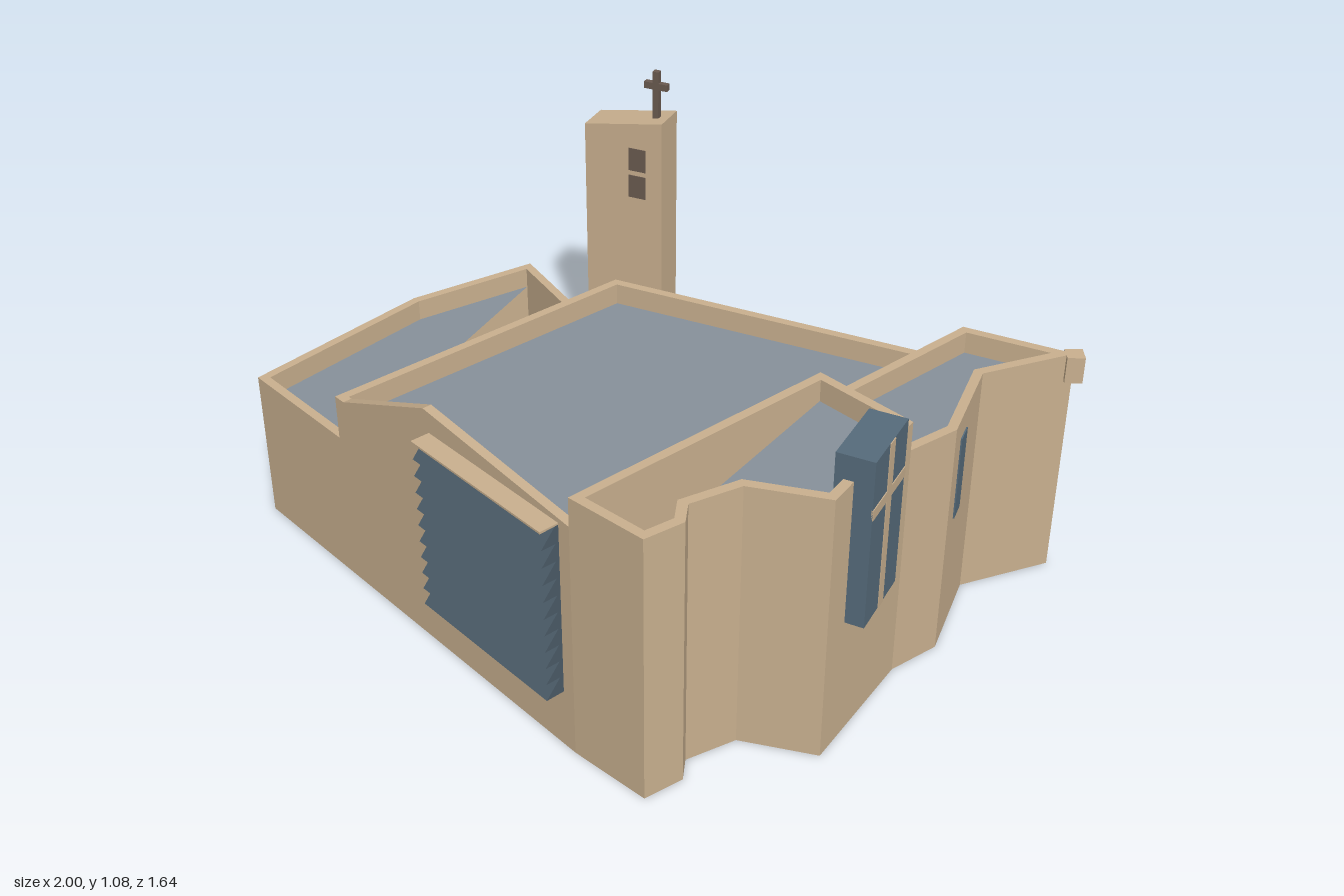
import * as THREE from 'three';

const mat = (color) => new THREE.MeshStandardMaterial({ color, flatShading: true, side: THREE.DoubleSide });
const WALL = mat(0xc9b08f), ROOF = mat(0x87919a), GLASS = mat(0x566b7b);
const SLAT = mat(0x4a5a66), DARK = mat(0x6a5a50);
const T = 0.027; // wall thickness

// plan outlines are lists of [x, z]
const toShape = (pts) => new THREE.Shape(pts.map(([x, z]) => new THREE.Vector2(x, -z)));

// move every side of an outline inwards by d, with mitred corners
function inset(pts, d) {
  const n = pts.length;
  let area = 0;
  pts.forEach(([x, z], i) => {
    const [u, w] = pts[(i + 1) % n];
    area += x * w - u * z;
  });
  const s = Math.sign(area);
  const normal = (a, b) => {
    const l = Math.hypot(b[0] - a[0], b[1] - a[1]);
    return [(-s * (b[1] - a[1])) / l, (s * (b[0] - a[0])) / l];
  };
  return pts.map((p, i) => {
    const a = normal(pts[(i + n - 1) % n], p), b = normal(p, pts[(i + 1) % n]);
    const k = d / (1 + a[0] * b[0] + a[1] * b[1]);
    return [p[0] + (a[0] + b[0]) * k, p[1] + (a[1] + b[1]) * k];
  });
}

function add(parent, name, geometry, material) {
  const mesh = new THREE.Mesh(geometry, material);
  mesh.name = name;
  parent.add(mesh);
  return mesh;
}

// upright solid over a plan outline, optionally hollow
function prism(pts, y0, y1, hollow) {
  const shape = toShape(pts);
  if (hollow) shape.holes.push(toShape(inset(pts, T)));
  return new THREE.ExtrudeGeometry(shape, { depth: y1 - y0, bevelEnabled: false })
    .rotateX(-Math.PI / 2).translate(0, y0, 0);
}

const flat = (pts, y) => new THREE.ShapeGeometry(toShape(pts)).rotateX(-Math.PI / 2).translate(0, y, 0);

// box set on a wall running from a to b: u0..u1 is the fraction along it
function panel(parent, name, a, b, u0, u1, y0, y1, depth, material) {
  const dx = b[0] - a[0], dz = b[1] - a[1], u = (u0 + u1) / 2;
  const mesh = add(parent, name,
    new THREE.BoxGeometry(Math.hypot(dx, dz) * (u1 - u0), y1 - y0, depth), material);
  mesh.position.set(a[0] + dx * u, (y0 + y1) / 2, a[1] + dz * u);
  mesh.rotation.y = -Math.atan2(dz, dx);
  return mesh;
}

export function createModel() {
  const model = new THREE.Group();
  model.name = 'church';

  // hollow wings with parapets; a roof may cover only part of the wing
  const hall = [[-0.47, 0.76], [0.545, 0.76], [0.545, -0.67], [-0.47, -0.255]];
  const left = [[-0.47, 0.76], [-0.9, 0.76], [-0.99, 0.14], [-0.93, -0.28], [-0.59, -0.205], [-0.47, -0.255]];
  const front = [[0.545, 0.76], [0.786, 0.737], [0.8, 0.62], [0.752, 0.567], [0.785, 0.42],
    [0.97, 0.3], [0.865, -0.09], [0.545, -0.09]];
  const back = [[0.545, -0.09], [0.865, -0.09], [0.88, -0.25], [0.745, -0.515], [0.845, -0.785], [0.545, -0.67]];
  const wings = [
    ['hall', hall, 0.605, [0, 1, 2, 3]],
    ['leftWing', left, 0.47, [0, 1, 2, 3]],
    ['frontRightWing', front, 0.8, [1, 2, 3, 4, 5, 6, 7, 3]],
    ['backRightWing', back, 0.715, [0, 1, 2, 3, 4, 5]],
  ];
  for (const [name, outline, height, corners] of wings) {
    add(model, name + 'Walls', prism(outline, 0, height, true), WALL);
    const inner = inset(outline, T);
    const pick = (list) => list.map((i) => inner[i]);
    if (name === 'frontRightWing') {
      add(model, name + 'Roof', flat(pick([3, 4, 5, 6, 7]), height - 0.065), ROOF);
      add(model, name + 'RoofSliver', flat(pick([1, 2, 3]), height - 0.065), ROOF);
    } else add(model, name + 'Roof', flat(pick(corners), height - 0.065), ROOF);
  }

  // gabled parapet over the front wall
  const gable = new THREE.Shape([[-0.47, 0.6], [0.545, 0.6], [0.545, 0.715], [-0.04, 0.77], [-0.43, 0.605],
    [-0.47, 0.605]].map(([x, y]) => new THREE.Vector2(x, y)));
  add(model, 'frontGable', new THREE.ExtrudeGeometry(gable, { depth: T, bevelEnabled: false })
    .translate(0, 0, 0.76 - T), WALL);

  // raised partition between hall and back wing
  add(model, 'partitionTop', new THREE.BoxGeometry(0.012, 0.11, 0.84).translate(0.539, 0.66, 0.33), WALL);

  // sawtooth louvres on the front
  const saw = [[0.755, 0.18]];
  const step = 0.052;
  for (let i = 0; i < 10; i++) saw.push([0.815, 0.18 + i * step], [0.77, 0.18 + (i + 1) * step]);
  saw.push([0.755, 0.7]);
  const sawShape = new THREE.Shape(saw.map(([z, y]) => new THREE.Vector2(-z, y)));
  add(model, 'frontLouvres', new THREE.ExtrudeGeometry(sawShape, { depth: 0.525, bevelEnabled: false })
    .rotateY(Math.PI / 2).translate(-0.02, 0, 0), SLAT);
  add(model, 'louvreCap', new THREE.BoxGeometry(0.525, 0.006, 0.06).translate(0.2425, 0.702, 0.787), WALL);

  // window bands on the slanting back wall
  for (let i = 0; i < 5; i++) {
    const y = 0.225 + i * 0.074;
    panel(model, 'backWindowBand', hall[2], hall[3], 0.1, 0.7, y, y + 0.044, 0.008, GLASS);
  }
  // narrow window of the back wing
  panel(model, 'sideWindow', back[2], back[3], 0.23, 0.44, 0.39, 0.645, 0.008, GLASS);

  // corbel and eave at the back corner
  const corbel = add(model, 'cornerCorbel', new THREE.BoxGeometry(0.05, 0.08, 0.05), WALL);
  corbel.position.set(0.845, 0.675, -0.785);
  corbel.rotation.y = -0.75;
  add(model, 'cornerEave', flat([[0.68, -0.722], [0.83, -0.815], [0.86, -0.77]], 0.655), ROOF);

  // glass bay with a cross on its outer face
  const bay = new THREE.Group();
  bay.name = 'glassBay';
  bay.position.set(0.908, 0.6225, 0.112);
  bay.rotation.y = 0.37;
  add(bay, 'bayGlass', new THREE.BoxGeometry(0.103, 0.495, 0.216), GLASS);
  add(bay, 'bayCrossUpright', new THREE.BoxGeometry(0.006, 0.495, 0.032).translate(0.051, 0, 0), WALL);
  add(bay, 'bayCrossBar', new THREE.BoxGeometry(0.006, 0.03, 0.216).translate(0.051, 0.095, 0), WALL);
  model.add(bay);

  // bell tower: wider base, shaft with sloping top
  const tower = new THREE.Group();
  tower.name = 'bellTower';
  model.add(tower);
  add(tower, 'towerBase', prism([[-0.965, -0.71], [-0.77, -0.755], [-0.695, -0.63], [-0.965, -0.5]], 0, 0.17), WALL);
  const shaft = prism([[-1, -0.65], [-0.745, -0.755], [-0.695, -0.645], [-0.95, -0.54]], 0.17, 0.93);
  const p = shaft.attributes.position;
  for (let i = 0; i < p.count; i++) {
    const along = 0.92 * p.getX(i) - 0.39 * p.getZ(i);
    if (p.getY(i) > 0.5 && along < -0.55) p.setY(i, 0.882);
  }
  shaft.computeVertexNormals();
  add(tower, 'towerShaft', shaft, WALL);

  // openings passing through the shaft
  const midA = [-0.975, -0.595], midB = [-0.72, -0.7];
  for (const y of [0.655, 0.75])
    panel(tower, 'towerOpening', midA, midB, 0.58, 0.8, y, y + 0.078, 0.126, DARK);

  // cross on the tower
  panel(tower, 'crossUpright', midA, midB, 0.8, 0.875, 0.91, 1.08, 0.02, DARK);
  panel(tower, 'crossBar', midA, midB, 0.69, 0.985, 1.02, 1.042, 0.02, DARK);

  return model;
}
